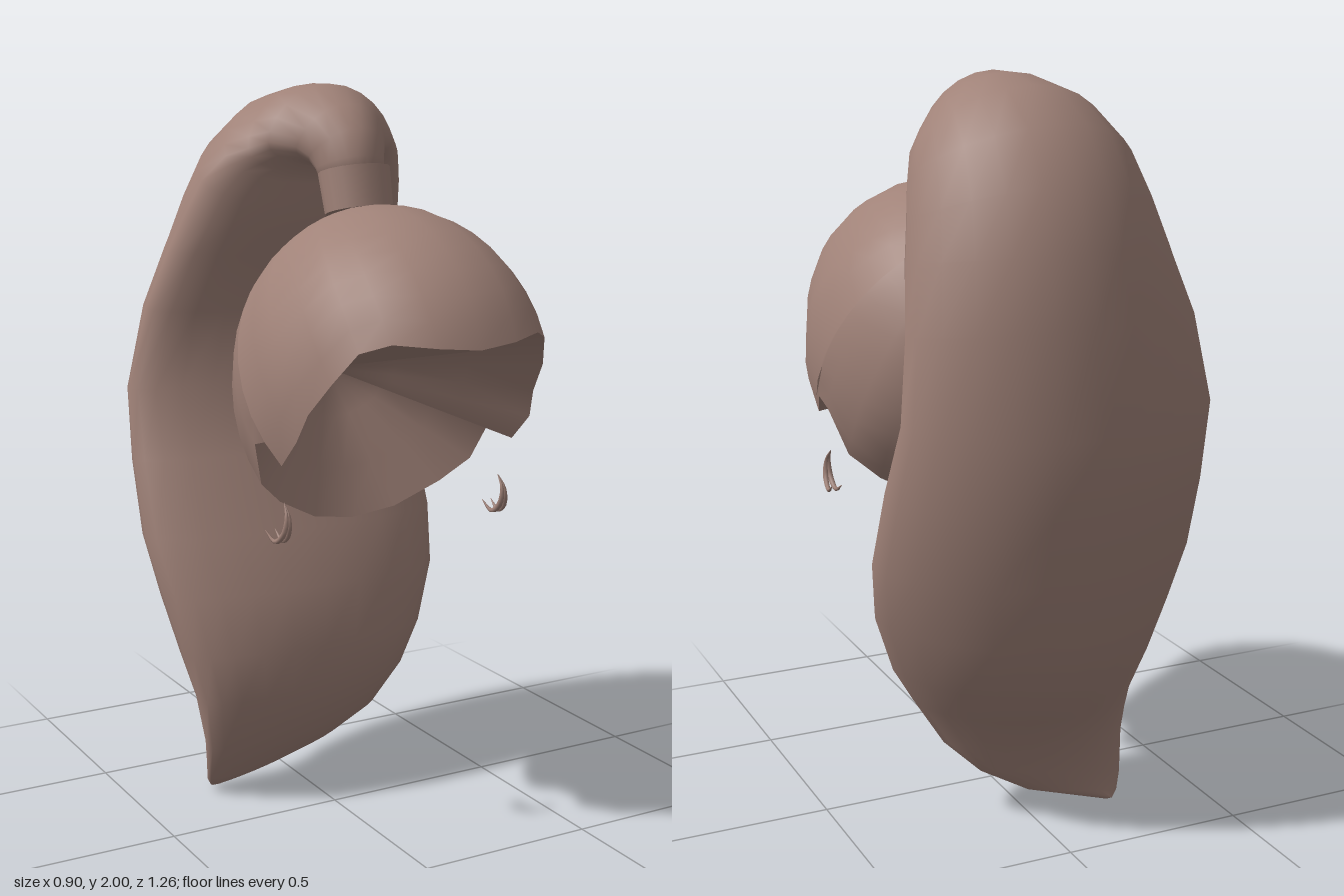
import * as THREE from 'three';
import { mergeVertices } from 'three/addons/utils/BufferGeometryUtils.js';

const V = (x, y, z) => new THREE.Vector3(x, y, z);

// Smooth skin over rows of points; closed joins each row's ends
function skin(rows, closed) {
  const n = rows[0].length, index = [];
  for (let r = 0; r < rows.length - 1; r++) {
    for (let i = 0; i < (closed ? n : n - 1); i++) {
      const j = (i + 1) % n;
      const a = r * n + i, b = r * n + j, c = a + n, d = b + n;
      index.push(a, c, b, b, c, d);
    }
  }
  let g = new THREE.BufferGeometry().setFromPoints(rows.flat());
  g.setIndex(index);
  g = mergeVertices(g, 1e-4);
  g.computeVertexNormals();
  return g;
}

export function createModel() {
  const hair = new THREE.MeshStandardMaterial({ color: 0xa08278, side: THREE.DoubleSide });
  hair.name = 'dusty brown';
  const model = new THREE.Group();
  const add = (geometry, name, parent = model) => {
    const mesh = new THREE.Mesh(geometry, hair);
    mesh.name = name;
    parent.add(mesh);
    return mesh;
  };

  // Hair cap: an ellipsoid, longer in front, cut off along a shaped hairline
  const centre = V(0.053, 1.25, 0.175);
  const radii = (z) => V(0.39, 0.45, z > 0 ? 0.495 : 0.445);
  const place = (p) => p.clone().multiply(radii(p.z)).add(centre);
  // Half of the hairline from fringe to nape, in unit sphere space
  const half = [
    [0, 1.385, 0.63], [0.11, 1.395, 0.615], [0.21, 1.405, 0.565], [0.27, 1.38, 0.51],
    [0.31, 1.3, 0.45], [0.335, 1.215, 0.375], [0.35, 1.14, 0.34], [0.35, 1.065, 0.26],
    [0.365, 1.12, 0.21], [0.365, 1.1, 0.14], [0.325, 0.98, 0.095], [0.25, 0.915, 0.055],
    [0.125, 0.85, 0.02], [0, 0.83, 0.005],
  ].map(([x, y, z]) => V(x, y - centre.y, z - centre.z).divide(radii(z - centre.z)));
  const mirror = half.slice(1, -1).reverse().map((p) => V(-p.x, p.y, p.z));
  const rim = [...half, ...mirror];
  const pole = V(0, 0.8, -0.6);
  const capRows = [];
  for (let r = 0; r <= 12; r++) {
    const t = r / 12;
    capRows.push(rim.map((p) => {
      const a = pole.angleTo(p), s = Math.sin(a), size = p.length();
      return place(pole.clone().multiplyScalar(Math.sin((1 - t) * a) / s)
        .addScaledVector(p, Math.sin(t * a) / s / size)
        .multiplyScalar(1 + (size - 1) * t ** 4));
    }));
  }
  add(skin(capRows, true), 'hairCap');

  // Inner hollow: roof and nape sheets meeting in a crease
  const tip = 7, count = rim.length, hollow = V(0.03, 1.235, -0.1);
  const sheet = (from, to, name) => {
    const edge = [];
    for (let i = from; i <= to; i++) edge.push(place(rim[(i + count) % count]));
    const rows = [0, 0.33, 0.67, 1].map((t) => edge.map((p) => p.clone().lerp(hollow, t)));
    add(skin(rows, false), name);
  };
  sheet(-tip, tip, 'innerRoof');
  sheet(tip, count - tip, 'innerNape');

  // Hair tie
  const tie = add(new THREE.CylinderGeometry(0.1, 0.095, 0.11, 16), 'hairTie');
  tie.position.set(0.057, 1.725, 0.016);
  tie.rotation.x = -0.27;
  tie.scale.z = 0.83;

  // Ponytail sections: inner z, inner y, outer z, outer y, right x, left x, tilt
  const sections = [
    [-0.04, 1.72, 0.075, 1.76, -0.03, 0.145, 0],
    [-0.07, 1.77, 0.067, 1.82, -0.04, 0.155, 0],
    [-0.078, 1.78, 0.04, 1.89, -0.055, 0.17, 0],
    [-0.088, 1.785, -0.02, 1.95, -0.08, 0.19, 0],
    [-0.105, 1.78, -0.12, 2, -0.14, 0.24, 0],
    [-0.12, 1.755, -0.21, 2, -0.18, 0.275, 0],
    [-0.13, 1.735, -0.34, 1.975, -0.225, 0.31, 0],
    [-0.14, 1.68, -0.455, 1.89, -0.275, 0.335, 0],
    [-0.165, 1.61, -0.54, 1.755, -0.305, 0.355, 0],
    [-0.195, 1.54, -0.59, 1.6, -0.34, 0.375, 0],
    [-0.265, 1.38, -0.615, 1.42, -0.39, 0.4, 0],
    [-0.275, 1.18, -0.63, 1.15, -0.44, 0.42, 0],
    [-0.19, 0.99, -0.61, 0.95, -0.455, 0.44, 0],
    [-0.11, 0.78, -0.57, 0.76, -0.455, 0.45, 0],
    [-0.04, 0.63, -0.52, 0.58, -0.43, 0.42, 0],
    [-0.02, 0.46, -0.46, 0.43, -0.39, 0.36, 0],
    [-0.025, 0.33, -0.38, 0.32, -0.355, 0.29, 0.03],
    [-0.1, 0.18, -0.32, 0.22, -0.32, 0.22, 0.1],
    [-0.18, 0.08, -0.285, 0.12, -0.3, 0.13, 0.2],
    [-0.23, 0.035, -0.275, 0.05, -0.275, 0, 0.2],
    [-0.265, 0, -0.27, 0.005, -0.25, -0.23, 0],
  ];
  const tailRows = sections.map(([iz, iy, oz, oy, xr, xl, tilt]) => {
    const row = [];
    for (let i = 0; i < 24; i++) {
      const a = (i / 24) * Math.PI * 2, c = Math.cos(a), s = Math.sin(a);
      // widest near the flattened inner side, rounded on the outer side
      const t = s > 0 ? 0.32 + 0.68 * s ** 1.25 : 0.32 - 0.32 * (-s) ** 0.95;
      row.push(V((xl + xr) / 2 + c * (xl - xr) / 2,
        iy + (oy - iy) * t + tilt * c * (xl - xr) / 2, iz + (oz - iz) * t));
    }
    return row;
  });
  // Close both ends
  const closing = (row) => {
    const mid = row.reduce((m, p) => m.addScaledVector(p, 1 / row.length), V(0, 0, 0));
    return row.map(() => mid.clone());
  };
  add(skin([closing(tailRows[0]), ...tailRows, closing(tailRows.at(-1))], true), 'ponytail');

  // Loose curls below the ears: pairs of thin tapered crescents
  for (const side of [-1, 1]) {
    const curls = new THREE.Group();
    curls.name = side > 0 ? 'leftCurls' : 'rightCurls';
    for (const splay of [-0.006, 0.022]) {
      const points = [[0.226, 0.96], [0.251, 0.925], [0.243, 0.88], [0.205, 0.853], [0.162, 0.875]]
        .map(([z, y], i) => V(0.055 + side * (0.328 + splay * i / 4), y, z));
      const curve = new THREE.CatmullRomCurve3(points);
      const tube = new THREE.TubeGeometry(curve, 12, 0.008, 6);
      const pos = tube.attributes.position, p = V(0, 0, 0);
      for (let i = 0; i < pos.count; i++) {
        const t = Math.floor(i / 7) / 12, c = curve.getPointAt(t);
        p.fromBufferAttribute(pos, i).sub(c).multiplyScalar(0.1 + 0.9 * Math.sin(Math.PI * t)).add(c);
        pos.setXYZ(i, p.x, p.y, p.z);
      }
      add(tube, 'curl', curls);
    }
    model.add(curls);
  }
  return model;
}
